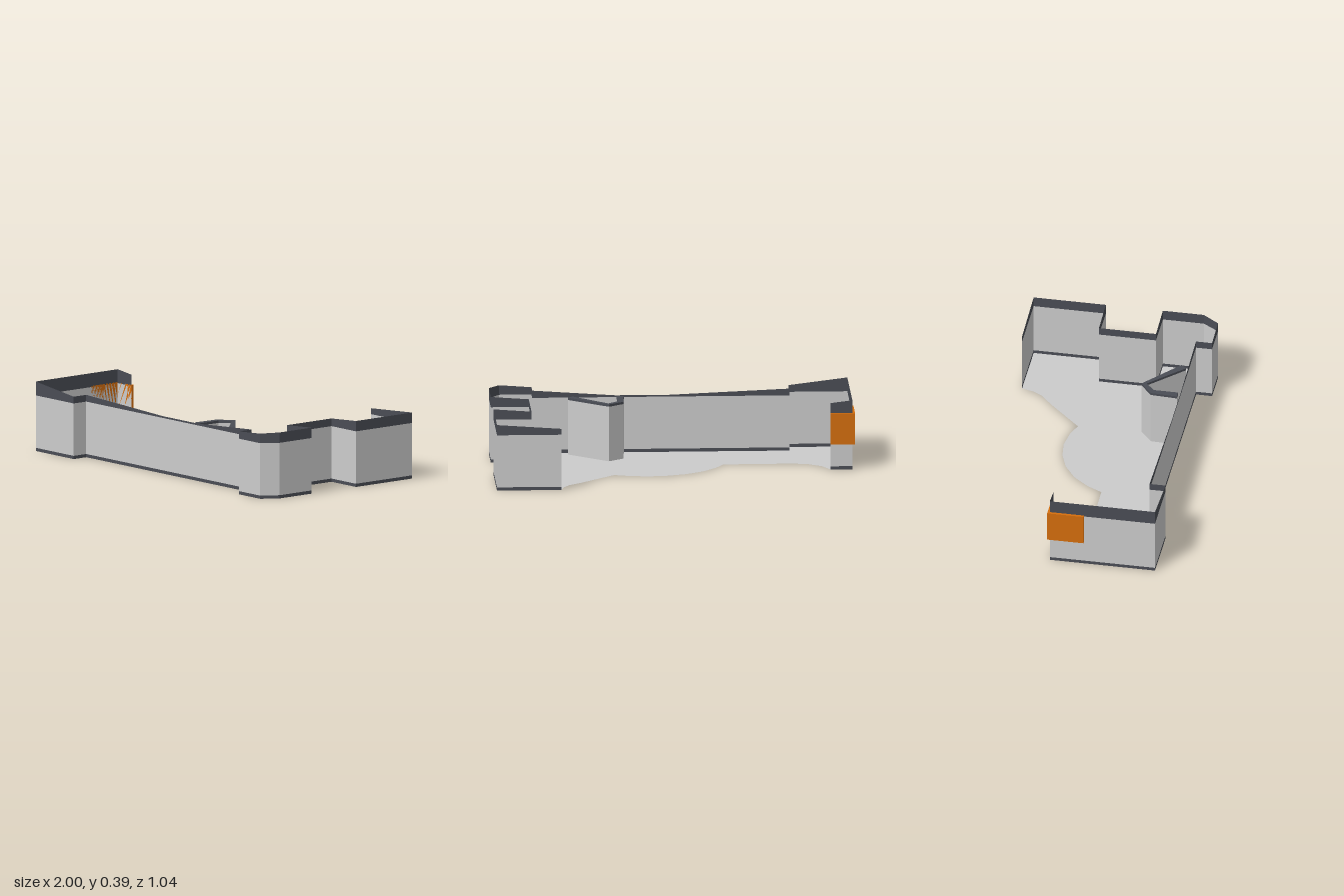
import * as THREE from 'three';

// Plan coordinates are [x, z]
const wallPath = [
  [-0.865, -0.07], [-0.985, -0.07], [-0.985, 0.52], [-0.66, 0.52], [-0.66, 0.43],
  [0, 0.43], [0.3, 0.43], [0.76, 0.43], [0.76, 0.52], [0.94, 0.52], [1, 0.43],
  [1, 0.2], [0.79, 0.2], [0.79, -0.12], [1, -0.12], [1, -0.525], [0.645, -0.525],
];
const openEdge = [
  [0.625, -0.455], [0.595, -0.405], [0.52, -0.34], [0.335, -0.155], [0.25, -0.185],
  [0.145, -0.2], [0.04, -0.187], [-0.065, -0.15], [-0.16, -0.085], [-0.235, 0.005],
  [-0.28, 0.09], [-0.5, 0.09], [-0.66, 0.096], [-0.75, 0.072], [-0.82, 0.02],
];
const partitionPlan = [
  [0.255, 0.415], [0.295, 0.415], [0.295, 0.28], [0.35, 0.228],
  [0.537, 0.415], [0.565, 0.385], [0.347, 0.2], [0.263, 0.267],
];

// Height of the trim's top edge, which dips towards the middle
const trimKnots = [[-0.985, 0.39], [-0.66, 0.35], [0, 0.322], [0.3, 0.322], [0.79, 0.355], [1, 0.37]];
function trimTop(x) {
  for (let i = 1; i < trimKnots.length; i++) {
    const [x0, y0] = trimKnots[i - 1];
    const [x1, y1] = trimKnots[i];
    if (x <= x1) return y0 + ((y1 - y0) * (x - x0)) / (x1 - x0);
  }
  return 0.37;
}

// Upright thin strip that follows a plan path
function strip(path, bottom, top) {
  const pos = [];
  for (let i = 0; i < path.length - 1; i++) {
    const [ax, az] = path[i];
    const [bx, bz] = path[i + 1];
    const a0 = [ax, bottom, az], a1 = [ax, top(ax), az];
    const b0 = [bx, bottom, bz], b1 = [bx, top(bx), bz];
    pos.push(...a0, ...b0, ...b1, ...a0, ...b1, ...a1);
  }
  const g = new THREE.BufferGeometry();
  g.setAttribute('position', new THREE.Float32BufferAttribute(pos, 3));
  g.computeVertexNormals();
  return g;
}

const planShape = (pts) => new THREE.Shape(pts.map(([x, z]) => new THREE.Vector2(x, -z)));

function prism(pts, y0, y1) {
  return new THREE.ExtrudeGeometry(planShape(pts), { depth: y1 - y0, bevelEnabled: false })
    .rotateX(-Math.PI / 2).translate(0, y0, 0);
}

function box(x0, x1, y0, y1, z0, z1) {
  return new THREE.BoxGeometry(x1 - x0, y1 - y0, z1 - z0)
    .translate((x0 + x1) / 2, (y0 + y1) / 2, (z0 + z1) / 2);
}

export function createModel() {
  const group = new THREE.Group();
  const mat = (color) => new THREE.MeshStandardMaterial({ color, side: THREE.DoubleSide });
  const grey = mat(0xcccccc), dark = mat(0x4a4d55), orange = mat(0xd56e0c);
  const add = (name, geometry, material) => {
    const mesh = new THREE.Mesh(geometry, material);
    mesh.name = name;
    group.add(mesh);
  };

  // Floor with its open, curved back edge
  add('floor', new THREE.ShapeGeometry(planShape([...wallPath, ...openEdge])).rotateX(-Math.PI / 2), grey);

  // Outer wall: baseboard, wall face and sloping top trim
  add('baseboard', strip(wallPath, 0, () => 0.018), dark);
  add('wall', strip(wallPath, 0.018, () => 0.312), grey);
  add('topTrim', strip(wallPath, 0.312, trimTop), dark);

  // Freestanding bent partition with a dark cap
  add('partition', prism(partitionPlan, 0, 0.308), grey);
  add('partitionCap', prism(partitionPlan, 0.308, 0.321), dark);

  // Panels wrapped around the back right corner
  add('sidePanel', box(-1, -0.985, 0.143, 0.318, -0.082, 0.122), orange);
  add('backPanel', box(-0.985, -0.865, 0.143, 0.318, -0.082, -0.07), orange);

  return group;
}
